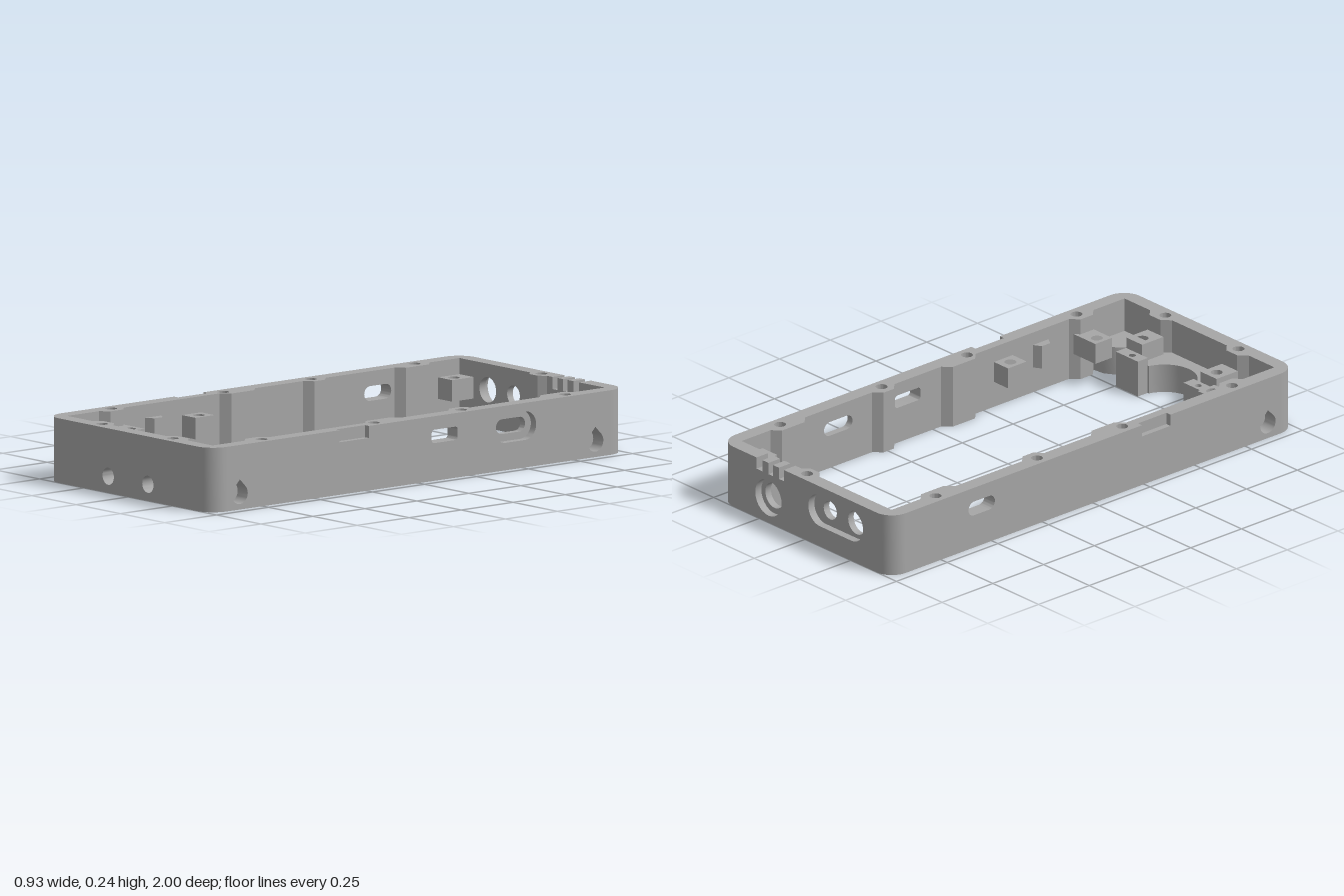
import * as THREE from 'three';
import { toCreasedNormals } from 'three/addons/utils/BufferGeometryUtils.js';

const H = 0.24, X = 0.467, Z = 1, T = 0.057, R = 0.075;
const grey = new THREE.MeshStandardMaterial({ color: 0xa6a6a6 });
grey.name = 'grey plastic';

const v = (x, y) => new THREE.Vector2(x, y);
const arc = (x, y, r, a0, a1, n = 12) => Array.from({ length: n + 1 }, (_, i) => {
  const a = a0 + (a1 - a0) * i / n;
  return v(x + r * Math.cos(a), y + r * Math.sin(a));
});
const circle = (x, y, r) => arc(x, y, r, 0, Math.PI * 2, 28).slice(0, -1);
const slot = (x, y, w, h, r = h / 2) => [
  ...arc(x + w / 2 - r, y + h / 2 - r, r, 0, Math.PI / 2, 8),
  ...arc(x - w / 2 + r, y + h / 2 - r, r, Math.PI / 2, Math.PI, 8),
  ...arc(x - w / 2 + r, y - h / 2 + r, r, Math.PI, Math.PI * 1.5, 8),
  ...arc(x + w / 2 - r, y - h / 2 + r, r, Math.PI * 1.5, Math.PI * 2, 8),
].filter((p, i, all) => i === 0 || p.distanceTo(all[i - 1]) > 1e-5);
const teardrop = (x, y, r) => [...arc(x, y, r, Math.PI * 0.8, Math.PI * 2.2, 20), v(x, y + r * 1.42)];

function extrude(parent, name, outline, holes, depth) {
  const shape = new THREE.Shape(outline);
  shape.holes = holes.map(h => new THREE.Path(h));
  const geo = new THREE.ExtrudeGeometry(shape, { depth, bevelEnabled: false });
  const mesh = new THREE.Mesh(toCreasedNormals(geo, 0.6), grey);
  mesh.name = name;
  parent.add(mesh);
  return mesh;
}

// Horizontal slab drawn in x, z and raised from y0 to y1
function slab(parent, name, points, holes, y0, y1) {
  const flip = ps => ps.map(p => v(p.x, -p.y));
  const mesh = extrude(parent, name, flip(points), holes.map(flip), y1 - y0);
  mesh.rotation.x = -Math.PI / 2;
  mesh.position.y = y0;
  return mesh;
}

const rect = (x0, x1, z0, z1) => [v(x0, z0), v(x1, z0), v(x1, z1), v(x0, z1)];

// A wall group: local x runs along it, local z points outward from the outer face.
// dir converts model coordinates along the wall to local ones.
function makeWall(root, name, angle, x, z, dir) {
  const wall = new THREE.Group();
  wall.name = name;
  wall.rotation.y = angle;
  wall.position.set(x, 0, z);
  root.add(wall);
  const map = ps => ps.map(p => v(dir * p.x, p.y));
  return {
    // Full height stretch with screw bosses [start, end, depth] and screw holes [along, depth]
    column(a, b, bosses = [], screws = []) {
      const pts = [v(a, 0), v(a, T)];
      for (const [s, e, d = 0.03] of bosses) pts.push(v(s, T), v(s + d, T + d), v(e - d, T + d), v(e, T));
      pts.push(v(b, T), v(b, 0));
      const clean = pts.filter((p, i) => i === 0 || p.distanceTo(pts[i - 1]) > 1e-5);
      const holes = screws.map(([s, d]) => map(circle(s, d, 0.022)));
      extrude(wall, 'wallStretch', map(clean), holes, H).rotation.x = -Math.PI / 2;
    },
    // Stretch pierced from the side, between depths d0 and d1; notches are [start, end, bottom]
    panel(a, b, holes = [], d0 = 0, d1 = T, notches = []) {
      const pts = [v(a, 0), v(a, H)];
      for (const [s, e, y] of notches) pts.push(v(s, H), v(s, y), v(e, y), v(e, H));
      pts.push(v(b, H), v(b, 0));
      extrude(wall, 'piercedWall', map(pts), holes.map(map), d1 - d0).position.z = -d1;
    },
  };
}

export function createModel() {
  const root = new THREE.Group();
  root.name = 'enclosureFrame';

  // Rounded corners
  for (const sx of [-1, 1]) for (const sz of [-1, 1]) {
    const pts = [v(X - T, Z - R), ...arc(X - R, Z - R, R, 0, Math.PI / 2), v(X - R, Z - T), v(X - T, Z - T)];
    slab(root, 'corner', pts.map(p => v(p.x * sx, p.y * sz)), [], 0, H);
  }

  // Long side walls
  for (const s of [-1, 1]) {
    const w = makeWall(root, s > 0 ? 'leftWall' : 'rightWall', s * Math.PI / 2, s * X, 0, -s);
    const end = Z - R;
    w.panel(-end, -0.8, s > 0 ? [teardrop(-0.85, 0.058, 0.038)] : []);
    w.column(-0.8, -0.63, [[-0.8, -0.63]], [[-0.74, 0.042]]);
    if (s > 0) {
      w.panel(-0.63, -0.31, [slot(-0.465, 0.155, 0.2, 0.106)], 0, 0.03);
      w.panel(-0.63, -0.31, [slot(-0.467, 0.157, 0.14, 0.055)], 0.03, T);
    } else {
      w.panel(-0.63, -0.31, [slot(-0.55, 0.157, 0.13, 0.055)]);
    }
    w.column(-0.31, -0.19, [[-0.3, -0.19]], [[-0.24, 0.042]]);
    w.panel(-0.19, 0.03, s > 0 ? [slot(-0.125, 0.165, 0.125, 0.05, 0.012)] : []);
    w.column(0.03, 0.22, [[0.04, 0.21]], [[0.18, 0.042]]);
    w.panel(0.22, 0.4, [], 0, 0.022, [[0.24, 0.38, 0.195]]);
    w.panel(0.22, 0.4, [], 0.022, T);
    w.column(0.4, 0.8, [[0.67, 0.79]], [[0.72, 0.042]]);
    w.panel(0.8, end, [teardrop(0.86, 0.058, 0.038)]);
  }

  // Back wall with connector openings and cable notches
  const back = makeWall(root, 'backWall', Math.PI, 0, -Z, -1);
  const edge = X - R;
  back.panel(-edge, -0.012, [slot(-0.168, 0.143, 0.3, 0.125)], 0, 0.03);
  back.panel(-edge, -0.012, [circle(-0.25, 0.143, 0.047), circle(-0.105, 0.143, 0.036)], 0.03, T);
  back.column(-0.012, 0.085, [[-0.012, 0.085, 0.025]], [[0.035, 0.042]]);
  const notches = [[0.116, 0.143, 0.195], [0.175, 0.2, 0.195], [0.233, 0.265, 0.195]];
  back.panel(0.085, edge, [circle(0.2, 0.1, 0.072)], 0, 0.03, notches);
  back.panel(0.085, edge, [circle(0.2, 0.1, 0.05)], 0.03, T, notches);

  // Front wall with two blind round holes
  const front = makeWall(root, 'frontWall', 0, 0, Z, 1);
  front.panel(-0.15, 0.15, [circle(-0.112, 0.062, 0.032), circle(0.112, 0.062, 0.032)]);
  front.column(-edge, -0.15, [[-0.27, -0.15]], [[-0.2, 0.045]]);
  front.column(0.15, edge, [[0.15, 0.27]], [[0.2, 0.045]]);

  // Front shelf with a round cutout and rounded corner pads
  const half = [v(0.41, 0.943), v(0.41, 0.79), v(0.36, 0.797), v(0.31, 0.83), v(0.28, 0.88), v(0.25, 0.88), v(0.25, 0.8), v(0.12, 0.8)];
  const bay = arc(0, 0.77, 0.122, 0.25, Math.PI - 0.25, 24);
  const mirrored = half.map(p => v(-p.x, p.y)).reverse();
  slab(root, 'frontShelf', [...half, ...bay, ...mirrored], [], 0, 0.11);

  // Back corner pad behind the side screw
  slab(root, 'backCornerPad', [v(0.41, -0.943), v(0.27, -0.943), v(0.27, -0.88),
    ...arc(0.37, -0.88, 0.1, Math.PI, Math.PI / 2, 8), v(0.41, -0.78)], [], 0, 0.11);

  // Mounting blocks, ribs and clips on both sides
  const block = (name, x, z, x0, x1, z0, z1, y0, y1, r) =>
    slab(root, name, rect(x0, x1, z0, z1), [circle(x, z, r)], y0, y1);
  for (const s of [-1, 1]) {
    block('backMount', s * 0.368, -0.88, s * 0.33, s * 0.412, -0.945, -0.84, 0.1, 0.18, 0.022);
    block('sideMount', s * 0.37, 0.345, s * 0.333, s * 0.412, 0.3, 0.392, 0.1, 0.18, 0.022);
    block('frontSideMount', s * 0.315, 0.722, s * 0.28, s * 0.412, 0.682, 0.765, 0.1, 0.18, 0.022);
    block('shelfMount', s * 0.203, 0.845, s * 0.16, s * 0.247, 0.805, 0.91, 0.11, 0.18, 0.022);
    block('shelfClip', s * 0.18, 0.775, s * 0.125, s * 0.245, 0.752, 0.802, 0, 0.14, 0.013);
    slab(root, 'sideRib', [v(s * 0.412, 0.49), v(s * 0.38, 0.51), v(s * 0.38, 0.55), v(s * 0.412, 0.57)], [], 0.1, 0.19);
  }
  return root;
}
